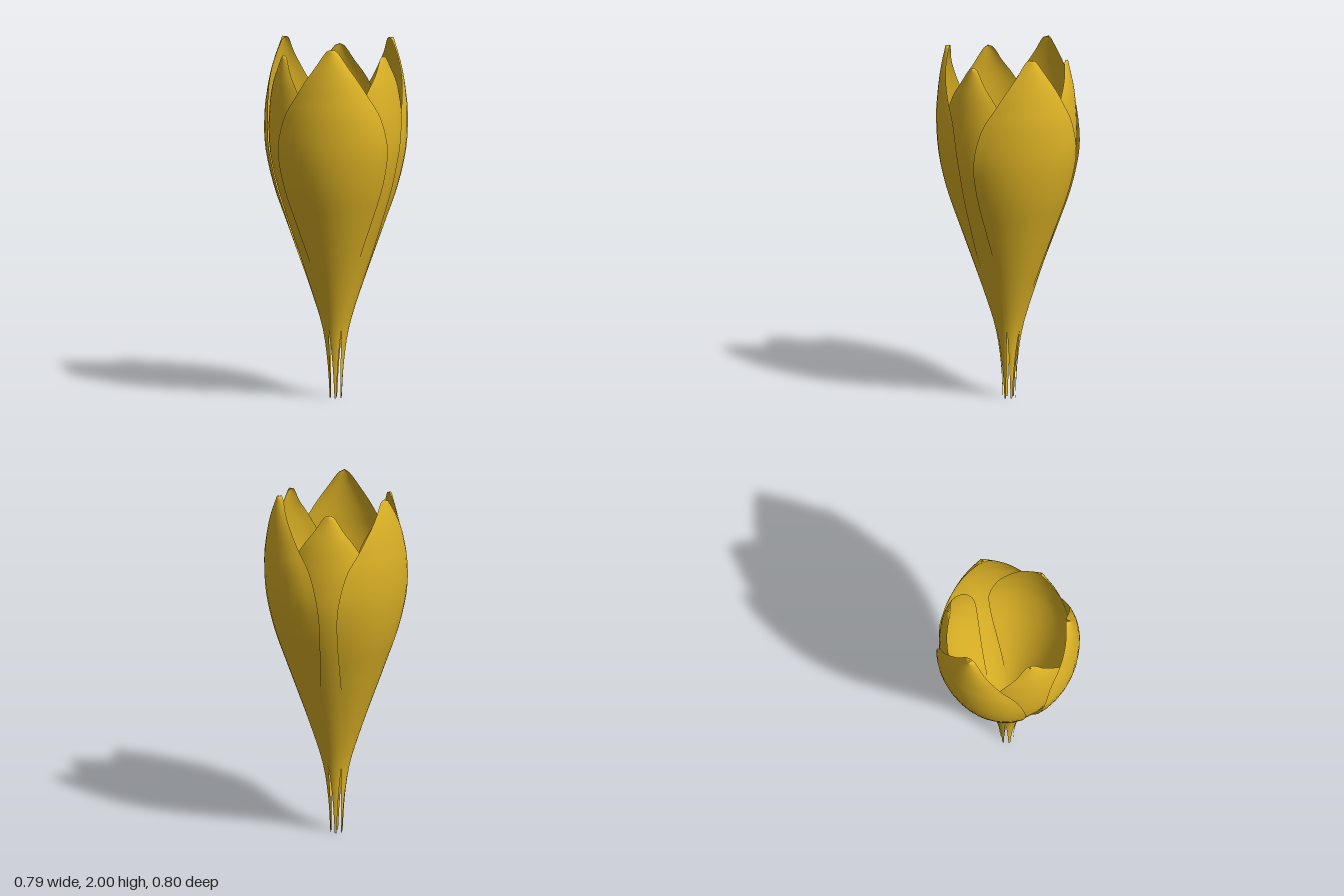
import * as THREE from 'three';

const ROWS = 44, COLS = 12, AXIS_X = -0.01;

// Petal stations from base to tip: [radius, height, half angle in degrees]
const OUTER = [
  [0.035, 0, 8], [0.046, 0.2, 20], [0.076, 0.4, 30], [0.137, 0.6, 38], [0.207, 0.8, 44],
  [0.279, 1.0, 49], [0.348, 1.2, 52], [0.392, 1.4, 52], [0.406, 1.6, 45], [0.4, 1.72, 34],
  [0.39, 1.82, 24], [0.376, 1.91, 14], [0.363, 1.97, 7.5], [0.359, 1.99, 4.5], [0.355, 2, 0],
];
const INNER = [
  [0.035, 0, 8], [0.046, 0.2, 20], [0.075, 0.4, 30], [0.134, 0.6, 38], [0.2, 0.8, 45],
  [0.268, 1.0, 50], [0.33, 1.2, 53], [0.368, 1.38, 53], [0.377, 1.55, 45], [0.372, 1.67, 34],
  [0.362, 1.77, 24], [0.348, 1.85, 14], [0.336, 1.91, 7.5], [0.332, 1.93, 4.5], [0.328, 1.94, 0],
];

// One curved petal centred on +x; its side edges curl inward by curl(height)
function petalGeometry(stations, curl) {
  const spine = new THREE.CatmullRomCurve3(stations.map((s) => new THREE.Vector3(s[0], s[1], s[2] / 60)));
  const pos = [], index = [];
  for (let i = 0; i <= ROWS; i++) {
    const p = spine.getPoint(i / ROWS);
    const half = THREE.MathUtils.degToRad(Math.max(p.z, 0) * 60);
    for (let j = 0; j <= COLS; j++) {
      const u = (j / COLS) * 2 - 1;
      const r = p.x * (1 - curl(p.y) * u * u);
      pos.push(r * Math.cos(u * half), p.y, r * Math.sin(u * half));
    }
  }
  const w = COLS + 1;
  for (let i = 0; i < ROWS; i++) {
    for (let j = 0; j < COLS; j++) {
      const a = i * w + j;
      index.push(a, a + w, a + 1);
      if (i < ROWS - 1) index.push(a + 1, a + w, a + w + 1);
    }
  }
  const geo = new THREE.BufferGeometry();
  geo.setAttribute('position', new THREE.Float32BufferAttribute(pos, 3));
  geo.setIndex(index);
  geo.computeVertexNormals();
  return geo;
}

export function createModel() {
  const flower = new THREE.Group();
  flower.name = 'flower';
  flower.position.x = AXIS_X;

  const gold = new THREE.MeshStandardMaterial({ color: 0xe0b526, side: THREE.DoubleSide });
  gold.name = 'golden yellow';

  const ramp = THREE.MathUtils.smoothstep;
  const outer = petalGeometry(OUTER, (y) => 0.01 + 0.06 * ramp(y, 1.4, 1.7));
  const inner = petalGeometry(INNER, (y) => 0.045 * ramp(y, 0.5, 1.3));

  // Alternate three outer and three inner petals around the axis
  for (let k = 0; k < 6; k++) {
    const isOuter = k % 2 === 0;
    const petal = new THREE.Mesh(isOuter ? outer : inner, gold);
    petal.name = (isOuter ? 'outerPetal' : 'innerPetal') + (Math.floor(k / 2) + 1);
    petal.rotation.y = (k * Math.PI) / 3;
    flower.add(petal);
  }

  const model = new THREE.Group();
  model.name = 'crocusBloom';
  model.add(flower);
  return model;
}
